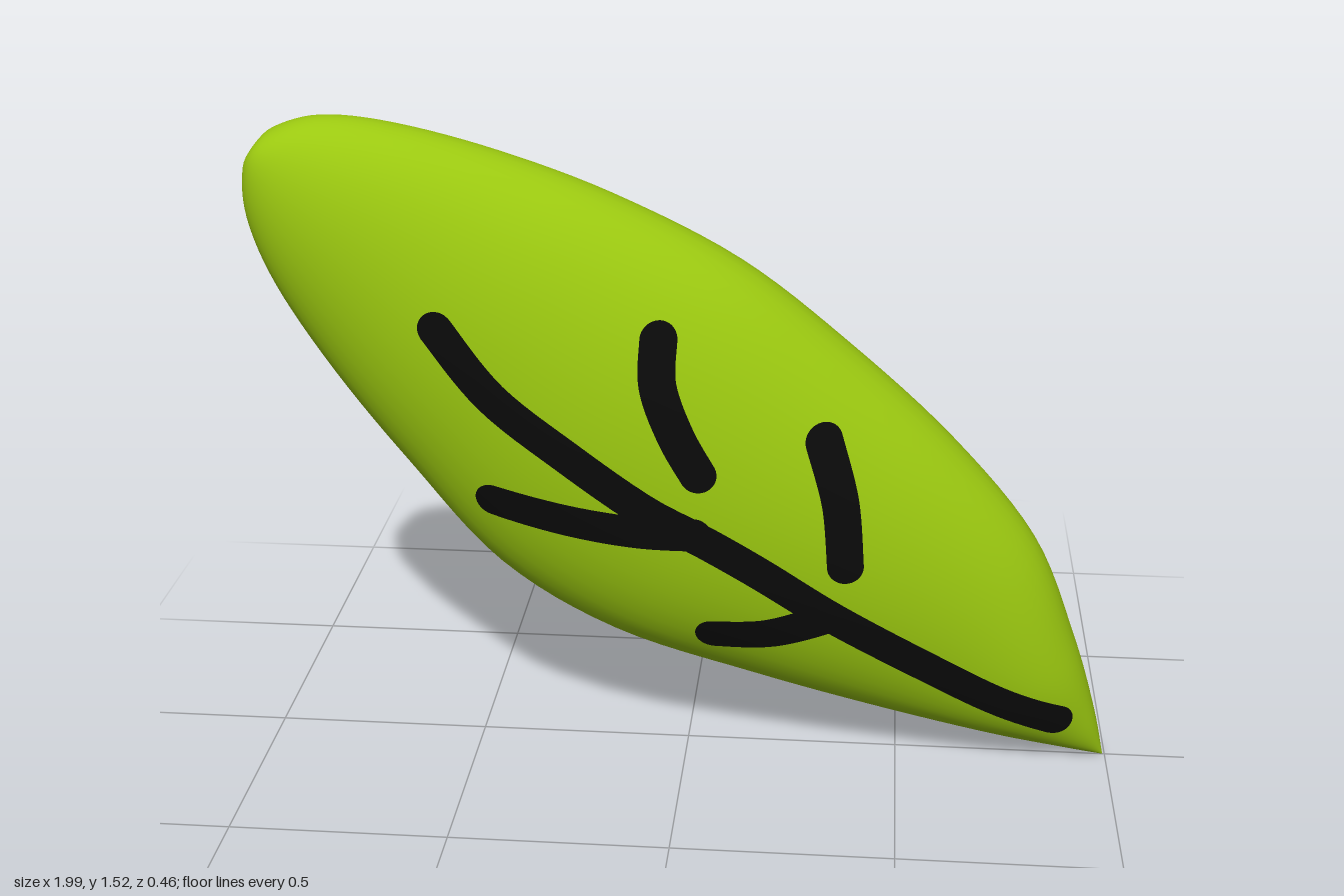
import * as THREE from 'three';

// Leaf cross-sections from the pointed tip to the rounded end:
// distance along the spine, upper edge, lower edge, half thickness
const SECTIONS = [
  [0, 0, 0, 0], [0.1, 0.085, -0.047, 0.05], [0.26, 0.2, -0.122, 0.112],
  [0.49, 0.334, -0.225, 0.155], [0.79, 0.406, -0.345, 0.197], [1.12, 0.438, -0.46, 0.222],
  [1.43, 0.442, -0.488, 0.224], [1.74, 0.387, -0.418, 0.203], [2.0, 0.308, -0.343, 0.172],
  [2.22, 0.216, -0.256, 0.138], [2.36, 0.13, -0.166, 0.1], [2.43, 0.04, -0.075, 0.06],
  [2.44, -0.02, -0.02, 0],
];
const TIP = [0.995, 0.005];
const [upper, lower, thick] = [1, 2, 3].map(
  (k) => new THREE.SplineCurve(SECTIONS.map((r) => new THREE.Vector2(r[0], r[k]))));

// Section at parameter t: spine distance, centre offset, half width, half thickness
function section(t) {
  const a = upper.getPoint(t), b = lower.getPoint(t);
  return { s: a.x, c: (a.y + b.y) / 2, w: (a.y - b.y) / 2, h: thick.getPoint(t).y };
}

// Height of the front surface above a point (x, y)
function surfaceZ(x, y) {
  const dx = x - TIP[0], dy = y - TIP[1];
  const s = -0.8 * dx + 0.6 * dy, u = 0.6 * dx + 0.8 * dy;
  let lo = 0, hi = 1;
  for (let i = 0; i < 30; i++) {
    const mid = (lo + hi) / 2;
    if (section(mid).s < s) lo = mid; else hi = mid;
  }
  const q = section(lo);
  return q.h * Math.sqrt(Math.max(0, 1 - ((u - q.c) / q.w) ** 2));
}

function buildGeometry(positions, index) {
  const g = new THREE.BufferGeometry();
  g.setAttribute('position', new THREE.Float32BufferAttribute(positions, 3));
  g.setIndex(index);
  g.computeVertexNormals();
  return g;
}

// Puffed leaf body: elliptical rings lofted along the slanted spine
function leafGeometry() {
  const rows = 72, around = 48, pos = [], index = [];
  for (let i = 0; i <= rows; i++) {
    const { s, c, w, h } = section(i / rows);
    for (let j = 0; j < around; j++) {
      const a = (j / around) * Math.PI * 2;
      const u = c + w * Math.cos(a);
      pos.push(TIP[0] - 0.8 * s + 0.6 * u, TIP[1] + 0.6 * s + 0.8 * u, h * Math.sin(a));
    }
  }
  for (let i = 0; i < rows; i++) {
    for (let j = 0; j < around; j++) {
      const a = i * around + j, b = i * around + ((j + 1) % around);
      const c = a + around, d = b + around;
      if (i < rows - 1) index.push(a, c, d);
      if (i > 0) index.push(a, d, b);
    }
  }
  return buildGeometry(pos, index);
}

// Painted vein: round-ended ribbon draped over the front surface
function veinGeometry(points, r) {
  const curve = new THREE.SplineCurve(points.map((p) => new THREE.Vector2(...p)));
  const length = curve.getLength(), along = 64, across = 6, pos = [], index = [];
  for (let i = 0; i <= along; i++) {
    const d = -r + (length + 2 * r) * (1 - Math.cos((i / along) * Math.PI)) / 2;
    const on = THREE.MathUtils.clamp(d, 0, length), over = d - on;
    const p = curve.getPointAt(on / length), t = curve.getTangentAt(on / length);
    const half = Math.sqrt(Math.max(0, r * r - over * over));
    for (let j = 0; j <= across; j++) {
      const k = half * (2 * j / across - 1);
      const x = p.x + t.x * over - t.y * k, y = p.y + t.y * over + t.x * k;
      pos.push(x, y, surfaceZ(x, y) + 0.004);
      if (i < along && j < across) {
        const a = i * (across + 1) + j, b = a + across + 1;
        index.push(a, b, a + 1, a + 1, b, b + 1);
      }
    }
  }
  return buildGeometry(pos, index);
}

export function createModel() {
  const leafGreen = new THREE.MeshStandardMaterial({ color: 0x9bc810 });
  leafGreen.name = 'leafGreen';
  const veinBlack = new THREE.MeshStandardMaterial({ color: 0x0a0a0a, side: THREE.DoubleSide });
  veinBlack.name = 'veinBlack';

  const model = new THREE.Group();
  model.name = 'leaf';
  const add = (name, geometry, material) => {
    const mesh = new THREE.Mesh(geometry, material);
    mesh.name = name;
    model.add(mesh);
  };

  add('leafBody', leafGeometry(), leafGreen);

  const veins = {
    midrib: [[-0.54, 1.1], [-0.42, 0.95], [-0.25, 0.82], [-0.08, 0.7], [0.05, 0.63],
      [0.18, 0.55], [0.34, 0.44], [0.55, 0.31], [0.72, 0.21], [0.87, 0.14]],
    lowerOuterVein: [[-0.43, 0.69], [-0.25, 0.66], [-0.1, 0.645], [0.03, 0.645]],
    lowerInnerVein: [[0.07, 0.37], [0.2, 0.385], [0.34, 0.44]],
    upperOuterVein: [[-0.05, 1.09], [-0.05, 0.99], [-0.01, 0.88], [0.04, 0.79]],
    upperInnerVein: [[0.315, 0.86], [0.355, 0.72], [0.37, 0.57]],
  };
  for (const [name, points] of Object.entries(veins)) {
    add(name, veinGeometry(points, 0.041), veinBlack);
  }
  return model;
}
